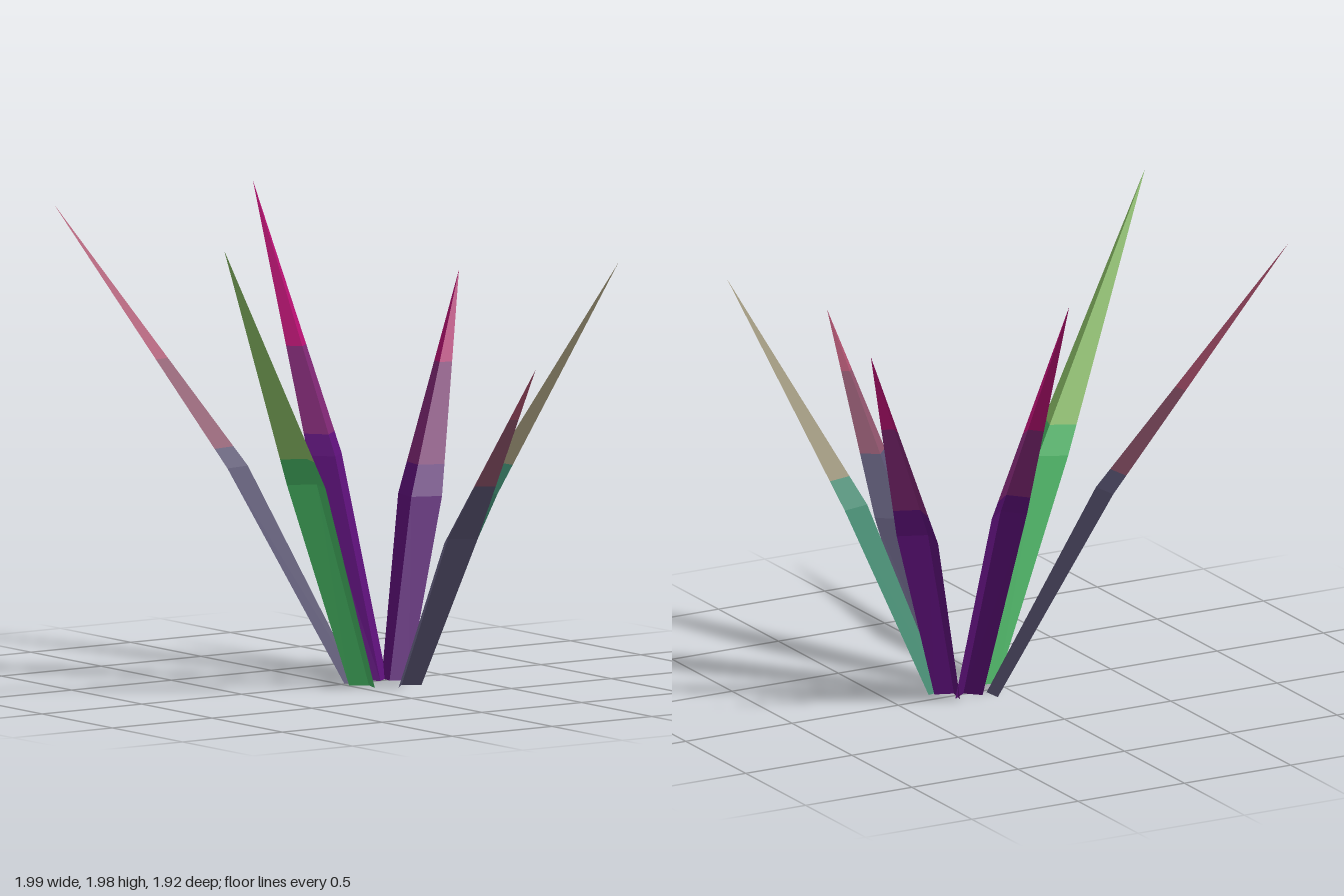
import * as THREE from 'three';

const mat = (name, color) => {
  const m = new THREE.MeshStandardMaterial({ color, side: THREE.DoubleSide, flatShading: true });
  m.name = name;
  return m;
};

// One flat-coloured band of folded blade between two three-point sections
function band(a, b, material, name) {
  const pos = [];
  const tri = (...pts) => pts.forEach((p) => pos.push(p.x, p.y, p.z));
  for (let i = 0; i < 2; i++) {
    tri(a[i], a[i + 1], b[i + 1]);
    if (b[i].distanceTo(b[i + 1]) > 1e-4) tri(a[i], b[i + 1], b[i]);
  }
  const g = new THREE.BufferGeometry();
  g.setAttribute('position', new THREE.Float32BufferAttribute(pos, 3));
  g.computeVertexNormals();
  const mesh = new THREE.Mesh(g, material);
  mesh.name = name;
  return mesh;
}

// Folded blade: narrow at the root, widest at the bend, pointed at the tip
function leaf({ name, root, bend, tip, halfWidth, cuts, mats }) {
  const group = new THREE.Group();
  group.name = name;
  const end = new THREE.Vector3(...tip);
  const out = new THREE.Vector3(tip[0] - root[0], 0, tip[2] - root[2]).normalize();
  const side = new THREE.Vector3(out.z, 0, -out.x);
  // Level section whose centre crease points toward the middle of the plant
  const section = (p, w, depth) => {
    const c = new THREE.Vector3(...p);
    return [
      c.clone().addScaledVector(side, -w),
      c.clone().addScaledVector(out, -depth),
      c.clone().addScaledVector(side, w),
    ];
  };
  const low = section(root, 0.062, 0.053);
  const mid = section(bend, halfWidth, 0.082);
  const at = (y) => mid.map((p) => p.clone().lerp(end, (y - bend[1]) / (tip[1] - bend[1])));

  group.add(band(low, mid, mats[0], 'lowerBlade'));
  let prev = mid;
  [...cuts, tip[1]].forEach((y, i) => {
    const next = at(y);
    group.add(band(prev, next, mats[i], 'upperBlade' + (i + 1)));
    prev = next;
  });
  return group;
}

export function createModel() {
  const model = new THREE.Group();
  model.name = 'spikyPlant';

  const greens = [mat('leafGreen', 0x46b563), mat('limeTip', 0x8abd66)];
  const teals = [mat('teal', 0x3f8a70), mat('tanTip', 0x958c70)];
  const greys = [mat('slateGrey', 0x575270), mat('mauve', 0x8a5068), mat('roseTip', 0xaa4f6c)];
  const purples = [mat('purple', 0x5c1078), mat('plum', 0x7d2672), mat('magentaTip', 0xb51070)];

  const leaves = [
    { name: 'frontLeftLeaf', root: [0.107, 0, -0.028], bend: [0.275, 0.88, 0.37],
      tip: [0.525, 1.935, 0.957], halfWidth: 0.093, cuts: [0.995], mats: greens },
    { name: 'frontRightLeaf', root: [-0.055, 0, -0.055], bend: [-0.33, 0.895, 0.337],
      tip: [-0.755, 1.975, 0.91], halfWidth: 0.087, cuts: [0.975, 1.34], mats: greys },
    { name: 'rightLeaf', root: [-0.045, 0, -0.193], bend: [-0.43, 0.885, -0.22],
      tip: [-1, 1.95, -0.26], halfWidth: 0.08, cuts: [0.97, 1.31], mats: purples },
    { name: 'backRightLeaf', root: [0.0, 0, -0.27], bend: [-0.11, 0.735, -0.472],
      tip: [-0.285, 1.62, -0.79], halfWidth: 0.1, cuts: [0.86, 1.26], mats: purples },
    { name: 'backLeftLeaf', root: [0.11, 0, -0.287], bend: [0.31, 0.79, -0.565],
      tip: [0.6, 1.735, -0.965], halfWidth: 0.093, cuts: [0.91], mats: teals },
    { name: 'leftLeaf', root: [0.205, 0, -0.2], bend: [0.525, 0.635, -0.23],
      tip: [0.99, 1.395, -0.277], halfWidth: 0.09, cuts: [0.87, 1.17], mats: greys },
  ];
  leaves.forEach((l) => model.add(leaf(l)));
  return model;
}
